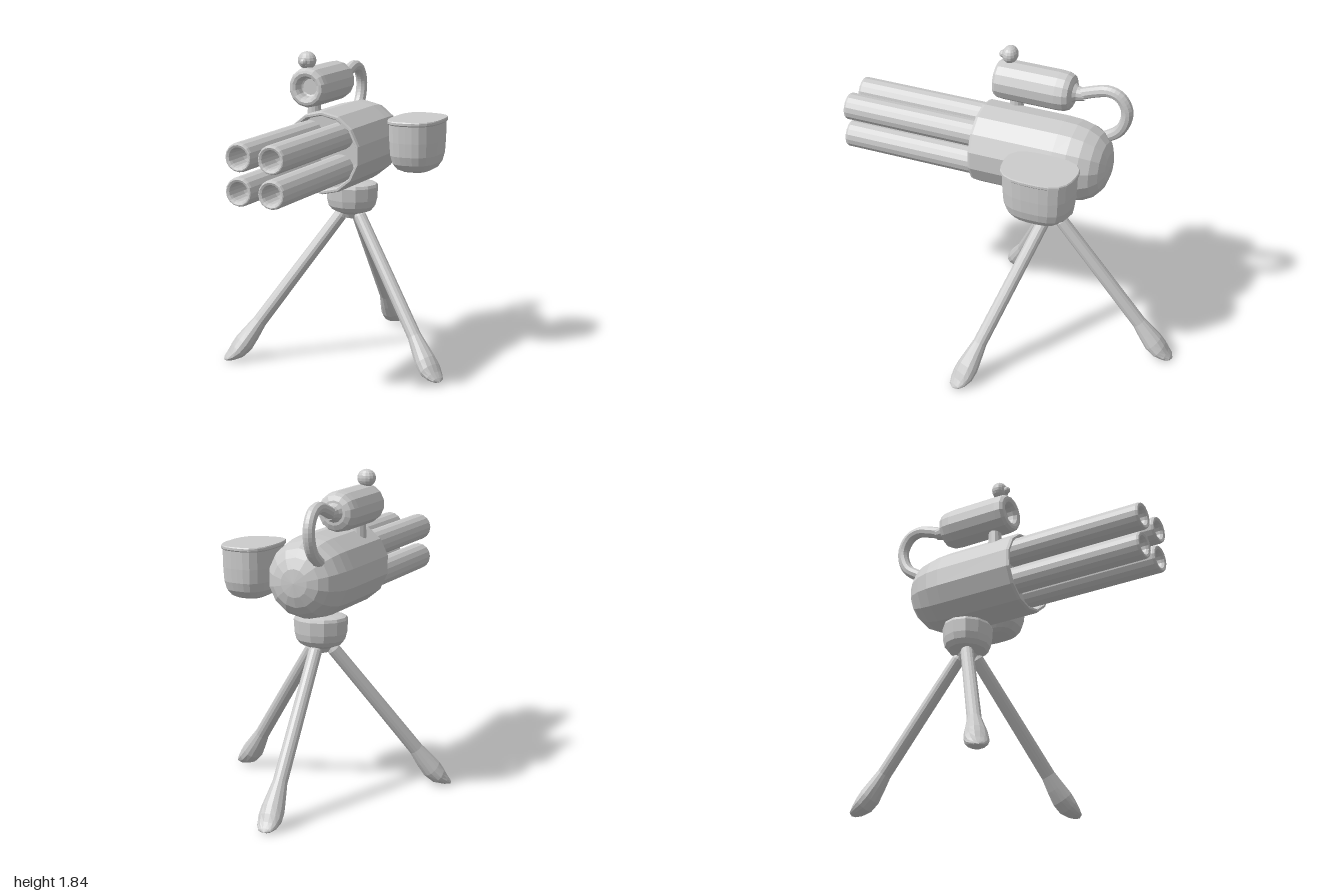
import * as THREE from 'three';

const material = new THREE.MeshStandardMaterial({ color: 0xcccccc, flatShading: true, side: THREE.DoubleSide });

function add(parent, name, geometry, x = 0, y = 0, z = 0) {
  const mesh = new THREE.Mesh(geometry, material);
  mesh.name = name;
  mesh.position.set(x, y, z);
  parent.add(mesh);
  return mesh;
}

// Lathe from [radius, height] pairs, listed from the bottom up
const lathe = (profile, sides) =>
  new THREE.LatheGeometry(profile.map(([r, h]) => new THREE.Vector2(r, h)), sides);

// The same, turned so the height runs along +z
const latheZ = (profile, sides) => lathe(profile, sides).rotateX(Math.PI / 2);

// Bowl with squarish rounded outline, a little narrower on its outer side
function bowlGeometry() {
  const geometry = lathe([
    [0, 1.14], [0.5, 1.14], [0.68, 1.155], [0.83, 1.19], [0.91, 1.24], [0.94, 1.32],
    [0.955, 1.42], [1, 1.427], [1, 1.44], [0.98, 1.446], [0, 1.446],
  ], 24);
  const p = geometry.attributes.position;
  for (let i = 0; i < p.count; i++) {
    const x = p.getX(i), z = p.getZ(i), r = Math.hypot(x, z);
    if (r < 1e-6) continue;
    const k = Math.pow(Math.abs(x / r) ** 3 + Math.abs(z / r) ** 3, -1 / 3);
    p.setXYZ(i, x * k * 0.15, p.getY(i), z * k * 0.212 * (1 - 0.07 * x));
  }
  geometry.computeVertexNormals();
  return geometry;
}

// Leg lofted through elliptical rings: [outward, height, half width, half thickness, ring tilt]
function legGeometry() {
  const rings = [
    [-0.012, 0.873, 0.002, 0.002, 0.9], [-0.008, 0.868, 0.025, 0.025, 0.9],
    [0.008, 0.848, 0.038, 0.038, 0.9], [0.27, 0.517, 0.04, 0.04, 0.9],
    [0.5, 0.225, 0.041, 0.042, 0.9], [0.55, 0.158, 0.054, 0.053, 0.87],
    [0.595, 0.1, 0.066, 0.06, 0.8], [0.635, 0.058, 0.069, 0.052, 0.65],
    [0.675, 0.03, 0.058, 0.031, 0.4], [0.705, 0.014, 0.038, 0.014, 0.15],
    [0.717, 0.007, 0.002, 0.002, 0],
  ];
  const sides = 14, positions = [], index = [];
  rings.forEach(([out, y, w, t, tilt], i) => {
    for (let j = 0; j < sides; j++) {
      const a = (j / sides) * Math.PI * 2, lift = Math.sin(a) * t;
      positions.push(Math.cos(a) * w, Math.max(0, y + lift * Math.cos(tilt)), out + lift * Math.sin(tilt));
      if (i === 0) continue;
      const k = (j + 1) % sides, p = (i - 1) * sides, q = i * sides;
      index.push(p + j, p + k, q + j, p + k, q + k, q + j);
    }
  });
  const geometry = new THREE.BufferGeometry();
  geometry.setAttribute('position', new THREE.Float32BufferAttribute(positions, 3));
  geometry.setIndex(index);
  geometry.computeVertexNormals();
  return geometry;
}

export function createModel() {
  const model = new THREE.Group();
  model.name = 'tripodTurret';
  const cx = -0.045;

  // Main housing: domed back, recessed front face
  add(model, 'housing', latheZ([
    [0, -0.57], [0.08, -0.563], [0.14, -0.54], [0.185, -0.5], [0.217, -0.44], [0.233, -0.37],
    [0.238, -0.29], [0.238, 0.185], [0.232, 0.2], [0.22, 0.2], [0.214, 0.19], [0.212, 0.14], [0, 0.14],
  ], 14), cx, 1.285, 0);

  // Four barrels with bored muzzles
  const barrels = new THREE.Group();
  barrels.name = 'barrels';
  model.add(barrels);
  const barrel = latheZ([
    [0, 0.1], [0.079, 0.1], [0.079, 0.985], [0.074, 0.998], [0.068, 1], [0.056, 0.995],
    [0.05, 0.98], [0.048, 0.86], [0.036, 0.83], [0.018, 0.815], [0, 0.81],
  ], 16);
  for (const sx of [-1, 1]) {
    for (const sy of [-1, 1]) add(barrels, 'barrel', barrel, cx + sx * 0.096, 1.291 + sy * 0.092, 0);
  }

  // Sight: rounded canister with a recessed lens, on a short post
  const sight = new THREE.Group();
  sight.name = 'sight';
  sight.position.set(-0.163, 1.643, 0);
  model.add(sight);
  add(sight, 'sightBody', latheZ([
    [0, -0.31], [0.07, -0.305], [0.098, -0.292], [0.111, -0.265], [0.115, -0.22], [0.115, 0.1],
    [0.112, 0.135], [0.1, 0.152], [0.085, 0.156], [0.068, 0.15], [0.058, 0.13], [0.055, 0.095],
    [0.046, 0.09], [0, 0.09],
  ], 14));
  add(sight, 'sightPost', new THREE.CylinderGeometry(0.036, 0.042, 0.12, 12), 0, -0.14, 0.04);
  add(sight, 'sightKnob', new THREE.SphereGeometry(0.055, 14, 10).scale(1, 0.93, 0.82), -0.022, 0.151, 0.088);
  add(sight, 'knobButton', new THREE.SphereGeometry(0.022, 10, 8), -0.022, 0.145, 0.132);

  // Hose from the sight round into the back of the housing
  const path = new THREE.CatmullRomCurve3([
    [-0.28, 1.64], [-0.34, 1.648], [-0.42, 1.677], [-0.5, 1.698], [-0.568, 1.678],
    [-0.612, 1.61], [-0.612, 1.54], [-0.575, 1.46], [-0.48, 1.39],
  ].map(([z, y]) => new THREE.Vector3(-0.163, y, z)));
  add(model, 'hose', new THREE.TubeGeometry(path, 32, 0.034, 10));
  add(model, 'hoseCollar', latheZ([[0.034, -0.37], [0.042, -0.325], [0.06, -0.3]], 12), -0.163, 1.645, 0);

  // Side bowl on the model's left
  add(model, 'sideBowl', bowlGeometry(), 0.345, 0, -0.292);

  // Swivel mount under the housing
  const mount = add(model, 'swivelMount', lathe([
    [0, 0.83], [0.045, 0.835], [0.06, 0.86], [0.09, 0.872], [0.12, 0.884], [0.142, 0.91],
    [0.152, 0.95], [0.157, 1.025], [0.15, 1.042], [0.13, 1.047], [0, 1.06],
  ], 12), cx, 0, -0.222);
  mount.scale.z = 0.92;

  // Tripod legs, each from its top point toward its foot
  const leg = legGeometry();
  for (const [name, x, z, tipX, tipZ] of [
    ['rightLeg', -0.1, -0.19, -0.665, 0.255],
    ['leftLeg', 0.012, -0.2, 0.66, 0.115],
    ['backLeg', -0.04, -0.28, -0.075, -1],
  ]) {
    add(model, name, leg, x, 0, z).rotation.y = Math.atan2(tipX - x, tipZ - z);
  }
  return model;
}
